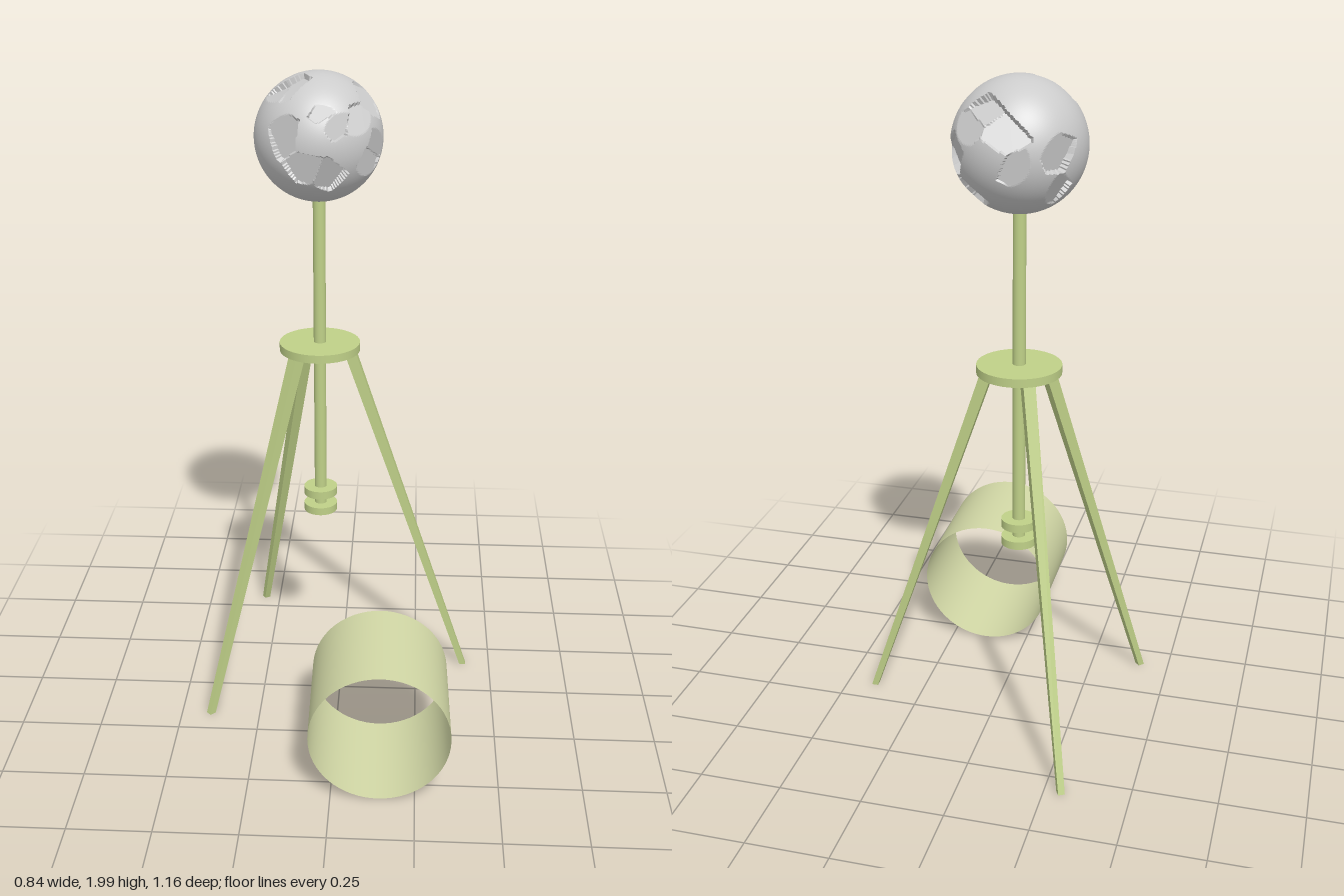
import * as THREE from 'three';

const green = new THREE.MeshStandardMaterial({ color: 0xbfd088 });
const hoopGreen = new THREE.MeshStandardMaterial({ color: 0xd2d8a6, side: THREE.DoubleSide });
const grey = new THREE.MeshStandardMaterial({ color: 0xcccccc, flatShading: true });

const CX = -0.07, CZ = -0.16; // axis of the stand

function add(group, name, geometry, material, x, y, z) {
  const mesh = new THREE.Mesh(geometry, material);
  mesh.name = name;
  mesh.position.set(x, y, z);
  group.add(mesh);
  return mesh;
}

// Upright disc or rod on the stand axis, from y0 to y1
function turned(group, name, r, y0, y1) {
  add(group, name, new THREE.CylinderGeometry(r, r, y1 - y0, 48), green, CX, (y0 + y1) / 2, CZ);
}

// Tapered square leg leaning outward, cut level at both ends
function legGeometry(dx, dz, top, foot) {
  const h = top - foot, reach = Math.hypot(dx, dz);
  const g = new THREE.BoxGeometry(1, h, 1);
  const p = g.attributes.position;
  for (let i = 0; i < p.count; i++) {
    const isTop = p.getY(i) > 0;
    const w = isTop ? 0.036 : 0.02;
    p.setXYZ(i, p.getX(i) * w + (isTop ? 0.092 : reach), isTop ? top : foot, p.getZ(i) * w);
  }
  g.rotateY(-Math.atan2(dz, dx));
  g.computeVertexNormals();
  return g;
}

// Sphere divided into cells; chipped cells are cut down to tilted planes
function chippedSphere(radius) {
  const chipDirs = [
    [-0.45, 0.78, 0.43], [0.28, 0.42, 0.85], [-0.12, -0.28, 0.95], [0.2, -0.4, 0.9],
    [0.92, 0.05, 0.35], [0.68, 0.28, 0.67], [0.85, -0.1, -0.5], [0.8, 0.6, 0.05],
    [0.55, 0.4, -0.72], [0.6, -0.58, -0.5], [0.4, 0.6, -0.68], [-0.58, 0.72, 0.37],
    [0.2, 0.55, 0.8], [0.8, -0.3, 0.5], [-0.5, 0.2, 0.84], [-0.6, -0.55, -0.55],
    [-0.2, -0.2, -0.95], [-0.75, 0.1, -0.6], [0.05, 0.3, -0.95],
  ];
  const tilt = (i, k) => 0.25 * Math.sin(i * 2.4 + k * 1.9);
  const cells = chipDirs.map((d, i) => {
    const dir = new THREE.Vector3(...d).normalize();
    const n = dir.clone().add(new THREE.Vector3(tilt(i, 0), tilt(i, 1), tilt(i, 2))).normalize();
    return { dir, n, depth: 0.9 + 0.04 * Math.sin(i * 1.7) };
  });
  // Whole cells fill the gaps between the chips
  for (let i = 0; i < 46; i++) {
    const y = 1 - (2 * i + 1) / 46, s = Math.sqrt(1 - y * y), a = i * 2.39996;
    const dir = new THREE.Vector3(s * Math.cos(a), y, s * Math.sin(a));
    if (cells.every((c) => c.dir.dot(dir) < 0.95)) cells.push({ dir });
  }
  const g = new THREE.IcosahedronGeometry(1, 44);
  const p = g.attributes.position, v = new THREE.Vector3();
  for (let i = 0; i < p.count; i++) {
    v.fromBufferAttribute(p, i).normalize();
    let best = cells[0], bestDot = -2;
    for (const c of cells) {
      const d = c.dir.dot(v);
      if (d > bestDot) { bestDot = d; best = c; }
    }
    const k = best.n ? Math.max(0.86, Math.min(1, best.depth / best.n.dot(v))) : 1;
    v.multiplyScalar(k * radius);
    p.setXYZ(i, v.x, v.y, v.z);
  }
  g.computeVertexNormals();
  return g;
}

export function createModel() {
  const model = new THREE.Group();
  model.name = 'chippedBallOnTripod';

  // Stand: post, top plate and two lower collars
  const stand = new THREE.Group();
  stand.name = 'stand';
  turned(stand, 'post', 0.019, 0.6, 1.64);
  turned(stand, 'topPlate', 0.125, 1.143, 1.169);
  turned(stand, 'upperCollar', 0.053, 0.645, 0.671);
  turned(stand, 'lowerCollar', 0.053, 0.588, 0.613);

  // Three legs, given by their foot positions
  [[0.41, -0.165], [-0.407, 0.167], [-0.3, -0.567]].forEach(([x, z], i) => {
    add(stand, `leg${i + 1}`, legGeometry(x - CX, z - CZ, 1.145, 0.005), green, CX, 0, CZ);
  });
  model.add(stand);

  // Ball
  add(model, 'chippedBall', chippedSphere(0.19), grey, CX, 1.81, CZ);

  // Open hoop lying on its side
  const hoop = new THREE.CylinderGeometry(0.209, 0.209, 0.37, 64, 1, true).rotateX(Math.PI / 2);
  add(model, 'openHoop', hoop, hoopGreen, 0.14, 0.215, 0.386).rotation.y = 0.022;

  return model;
}
